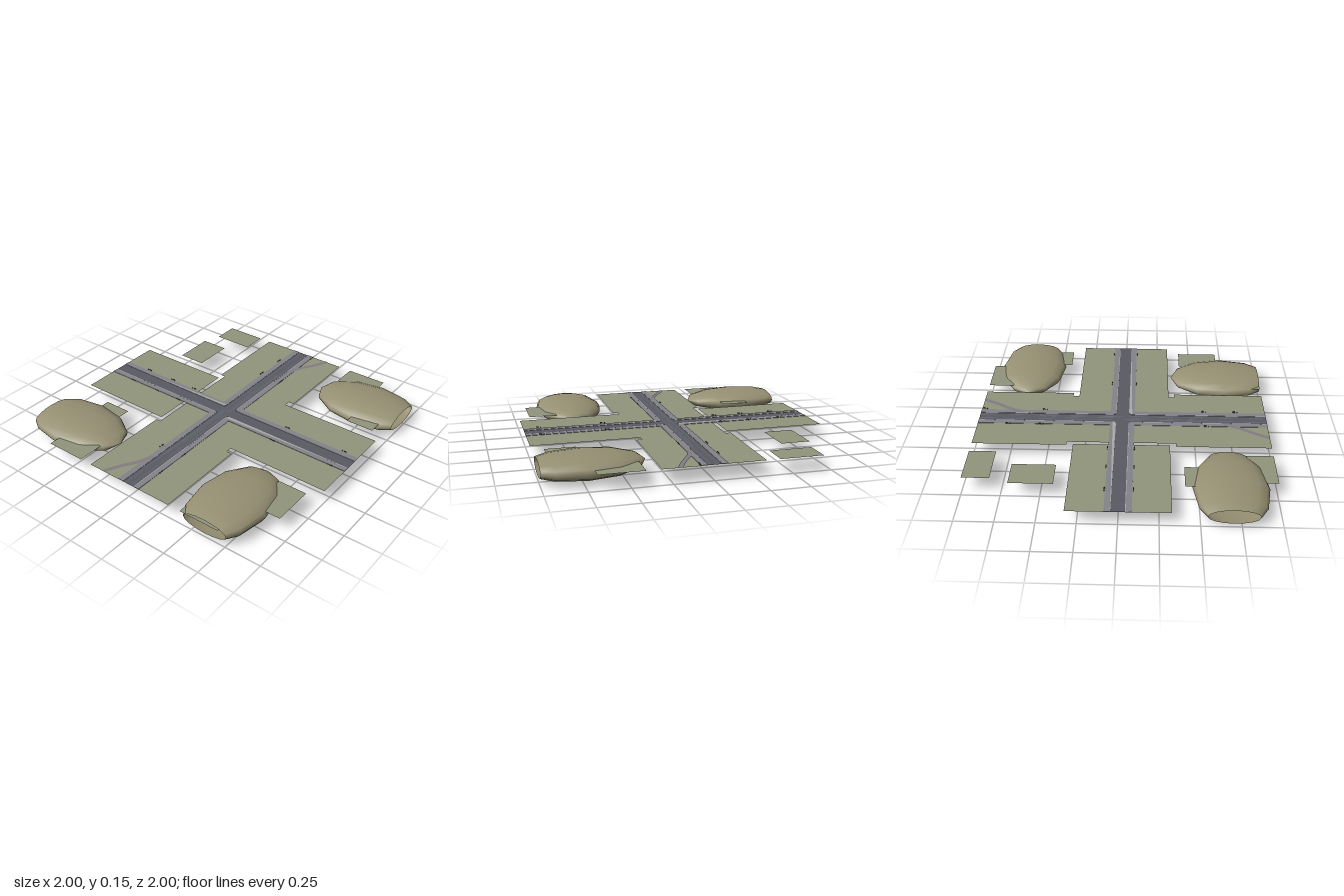
import * as THREE from 'three';

const mat = (color) => new THREE.MeshStandardMaterial({ color, side: THREE.DoubleSide });
const MAT = {
  grass: mat(0x92957c), hill: mat(0x969073), road: mat(0x585a62),
  walk: mat(0x85838a), kerb: mat(0xa8a8a8), track: mat(0x807c82),
  rail: mat(0x6c6e76), dark: mat(0x44443f),
};
const GROUND = 0.106, ROAD = 0.1068, WALK = 0.109;

export function createModel() {
  const model = new THREE.Group();
  const add = (name, geometry, material) => {
    const mesh = new THREE.Mesh(geometry, material);
    mesh.name = name;
    model.add(mesh);
    return mesh;
  };
  // Flat rectangle given by its x and z limits
  const patch = (name, x0, x1, z0, z1, y, material) => {
    const g = new THREE.PlaneGeometry(x1 - x0, z1 - z0).rotateX(-Math.PI / 2);
    add(name, g.translate((x0 + x1) / 2, y, (z0 + z1) / 2), material);
  };

  // Ground: a centre plate and four arms split by the road
  patch('centreGround', -0.365, 0.365, -0.29, 0.283, GROUND, MAT.grass);
  for (const s of [-1, 1]) {
    const [a, b] = s < 0 ? [-0.325, -0.045] : [0.045, 0.322];
    patch('backGround', a, b, -1, -0.315, GROUND, MAT.grass);
    patch('frontGround', a, b, 0.283, 1, GROUND, MAT.grass);
    patch('rightGround', -1, -0.365, a, b, GROUND, MAT.grass);
    patch('leftGround', 0.365, 1, a, b, GROUND, MAT.grass);
  }

  // Two small lawns in each corner
  for (const sx of [-1, 1]) {
    for (const sz of [-1, 1]) {
      const x = sx * 0.555, z = sz > 0 ? 0.825 : -0.645;
      patch('cornerLawn', x - 0.143, x + 0.143, z - 0.098, z + 0.098, GROUND, MAT.grass);
      patch('edgeLawn', sx * 0.91 - 0.09, sx * 0.91 + 0.09, sz * 0.555 - 0.142, sz * 0.555 + 0.142, GROUND, MAT.grass);
    }
  }

  // Crossing roads
  patch('crossRoad', -1, 1, -0.05, 0.05, ROAD, MAT.road);
  for (const [a, b] of [[-1, -0.05], [0.05, 1]]) patch('mainRoad', -0.05, 0.05, a, b, ROAD, MAT.road);
  // Rounded patches under the corner kerbs
  patch('junction', -0.08, 0.08, -0.08, 0.08, ROAD - 0.0003, MAT.road);

  // L-shaped pavements with a rounded corner and a pale kerb line
  const pavement = (sx, sz, inner, outer, radius) => {
    const s = new THREE.Shape();
    s.moveTo(sx, sz * inner);
    s.lineTo(sx * (inner + radius), sz * inner);
    s.quadraticCurveTo(sx * inner, sz * inner, sx * inner, sz * (inner + radius));
    s.lineTo(sx * inner, sz);
    s.lineTo(sx * outer, sz);
    s.lineTo(sx * outer, sz * (outer + 0.003));
    s.quadraticCurveTo(sx * outer, sz * outer, sx * (outer + 0.003), sz * outer);
    s.lineTo(sx, sz * outer);
    s.closePath();
    return s;
  };
  const slab = (shape, depth, top) =>
    new THREE.ExtrudeGeometry(shape, { depth, bevelEnabled: false, curveSegments: 8 })
      .rotateX(Math.PI / 2).translate(0, top, 0);
  for (const sx of [-1, 1]) {
    for (const sz of [-1, 1]) {
      add('pavement', slab(pavement(sx, sz, 0.047, 0.085, 0.03), 0.0025, WALK), MAT.walk);
      add('kerb', slab(pavement(sx, sz, 0.044, 0.048, 0.03), 0.0024, WALK + 0.0002), MAT.kerb);
    }
  }

  // Ribbon that follows a ground curve, shifted sideways by an offset
  const ribbon = (name, points, offset, width, y, material) => {
    const curve = new THREE.CatmullRomCurve3(points.map(([x, z]) => new THREE.Vector3(x, 0, z)));
    const n = 60, pos = [], index = [];
    for (let i = 0; i <= n; i++) {
      const p = curve.getPointAt(i / n), t = curve.getTangentAt(i / n);
      for (const side of [-1, 1]) {
        const d = offset + side * width / 2;
        pos.push(THREE.MathUtils.clamp(p.x - t.z * d, -1, 1), y, p.z + t.x * d);
      }
      if (i < n) index.push(2 * i, 2 * i + 1, 2 * i + 2, 2 * i + 1, 2 * i + 3, 2 * i + 2);
    }
    const g = new THREE.BufferGeometry();
    g.setAttribute('position', new THREE.Float32BufferAttribute(pos, 3));
    g.setIndex(index);
    g.computeVertexNormals();
    add(name, g, material);
  };

  // Curving track beds over the lawns, rails across the road and lane lines
  for (const s of [-1, 1]) {
    const bend = [[1, 0.21], [0.9, 0.16], [0.8, 0.1], [0.7, 0.06]].map(([x, z]) => [s * x, s * z]);
    ribbon('trackBed', bend, 0, 0.03, WALK + 0.0003, MAT.track);
    const join = [[0.7, 0.055], [0.6, 0.025], [0.5, 0.012], [0, 0.01]].map(([x, z]) => [s * x, s * z]);
    for (const o of [-0.007, 0.007]) ribbon('trackRail', join, o, 0.003, ROAD + 0.0006, MAT.rail);
    patch('laneLine', -1, 1, s * 0.022 - 0.0015, s * 0.022 + 0.0015, ROAD + 0.0004, MAT.rail);
  }

  // Street furniture: a bench with a back and a small bin beside it
  const furniture = (x, z, turn) => {
    const group = new THREE.Group();
    group.name = 'streetBench';
    const box = (name, w, h, d, px, py, pz) => {
      const m = new THREE.Mesh(new THREE.BoxGeometry(w, h, d), MAT.dark);
      m.name = name;
      m.position.set(px, py, pz);
      group.add(m);
    };
    box('benchSeat', 0.016, 0.002, 0.006, 0.009, 0.004, 0);
    box('benchBack', 0.016, 0.004, 0.0015, 0.009, 0.007, 0.003);
    for (const lx of [0.003, 0.015]) box('benchLeg', 0.002, 0.004, 0.005, lx, 0.002, 0);
    box('bin', 0.005, 0.007, 0.004, -0.014, 0.0035, 0);
    group.position.set(x, WALK, z);
    group.rotation.y = turn;
    model.add(group);
  };
  for (const z of [-0.79, -0.56, -0.36, 0.455, 0.895]) {
    for (const s of [-1, 1]) furniture(s * 0.09, z, -Math.PI / 2);
  }
  for (const x of [-0.58, 0.56, 0.79]) furniture(x, -0.092, 0);
  for (const x of [-0.79, -0.57, 0.55, 0.975]) furniture(x, 0.088, 0);

  // Flattened egg-shaped hills, cut open where they meet the border
  const cut = -0.71;
  const profile = [[0.66, cut]];
  for (let a = 120; a >= 0; a -= 30) {
    const t = THREE.MathUtils.degToRad(a);
    profile.push([Math.max(Math.sin(t), 0), Math.cos(t)]);
  }
  const hill = (x, z, turn) => {
    const g = new THREE.LatheGeometry(profile.map(([r, y]) => new THREE.Vector2(r, y)), 16);
    g.rotateX(-Math.PI / 2).scale(0.242, 0.076, 0.382).rotateY(turn);
    add('hill', g.translate(x, 0.084, z), MAT.hill);
  };
  hill(0.7, 0.729, 0);
  hill(-0.7, -0.729, Math.PI);
  hill(-0.729, 0.598, -Math.PI / 2);

  return model;
}
